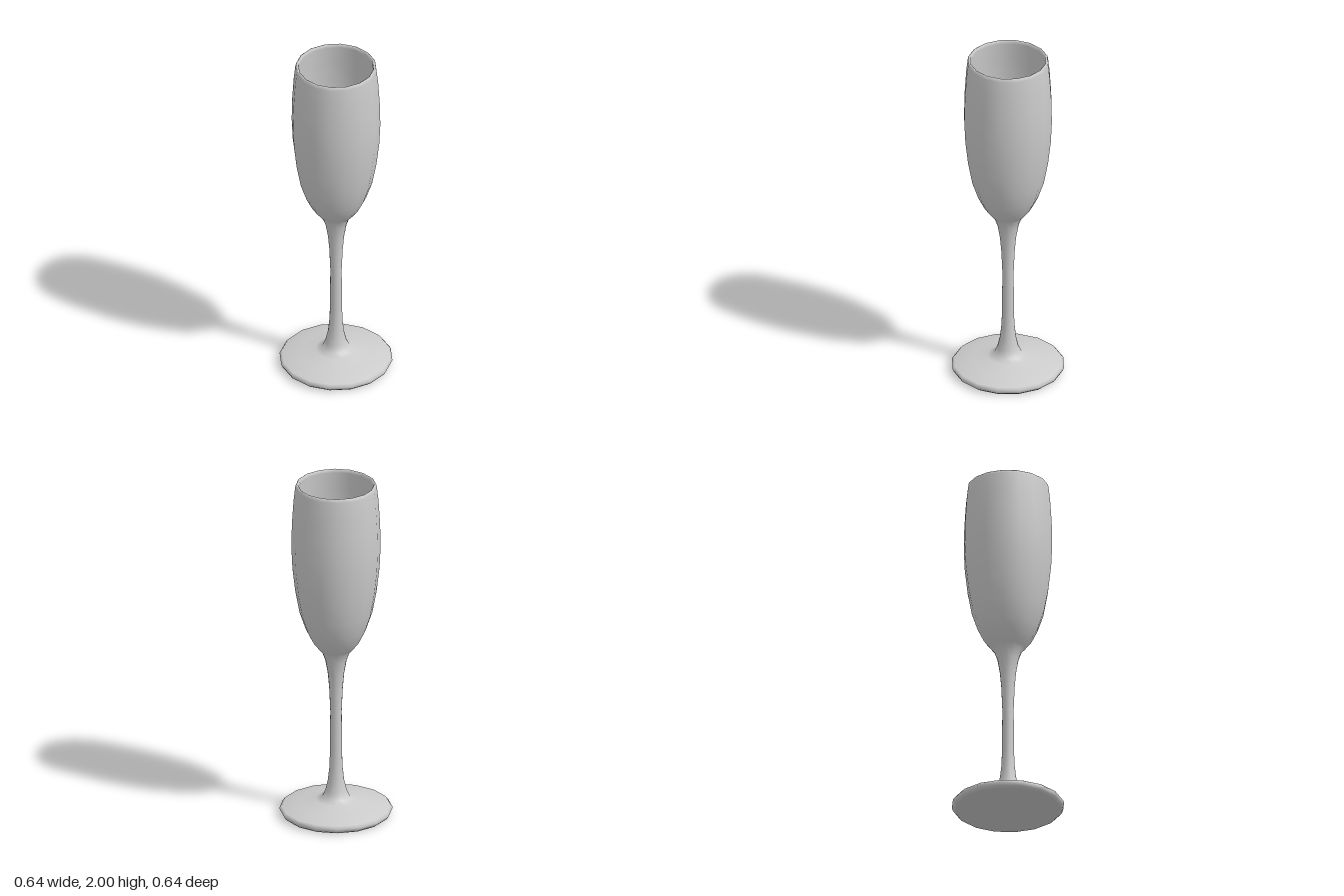
import * as THREE from 'three';

const SIDES = 16;

// Turn a [radius, height] profile around the y axis
function turned(name, profile, color = 0xcccccc) {
  const points = profile.map(([r, y]) => new THREE.Vector2(r, y));
  const mesh = new THREE.Mesh(
    new THREE.LatheGeometry(points, SIDES),
    new THREE.MeshStandardMaterial({ color })
  );
  mesh.name = name;
  return mesh;
}

export function createModel() {
  const model = new THREE.Group();
  model.name = 'champagneFlute';

  // Foot, stem, bowl, rounded lip and hollow inside as one continuous profile
  model.add(turned('glass', [
    // foot
    [0, 0], [0.295, 0], [0.309, 0.012], [0.318, 0.03], [0.305, 0.046], [0.2, 0.07], [0.115, 0.087],
    // stem
    [0.078, 0.1], [0.06, 0.14], [0.046, 0.2], [0.037, 0.28], [0.034, 0.37], [0.032, 0.62],
    [0.038, 0.76], [0.046, 0.85], [0.06, 0.93], [0.078, 0.98],
    // outside of the bowl
    [0.096, 1.0], [0.135, 1.05], [0.17, 1.12], [0.204, 1.22], [0.228, 1.35], [0.244, 1.49],
    [0.25, 1.62], [0.247, 1.76], [0.238, 1.9], [0.229, 1.98],
    // lip
    [0.226, 1.995], [0.219, 2.0], [0.212, 1.995],
    // inside of the bowl
    [0.21, 1.98], [0.22, 1.88], [0.228, 1.76], [0.231, 1.62], [0.225, 1.49], [0.209, 1.35],
    [0.185, 1.22], [0.151, 1.12], [0.115, 1.06], [0.07, 1.03], [0, 1.02],
  ]));

  // Drink filling the bowl, just inside its wall
  model.add(turned('drink', [
    [0, 1.025], [0.068, 1.035], [0.113, 1.065], [0.149, 1.125], [0.183, 1.225],
    [0.207, 1.355], [0.223, 1.49], [0.229, 1.62], [0, 1.62],
  ], 0xf2cc3a));

  return model;
}
